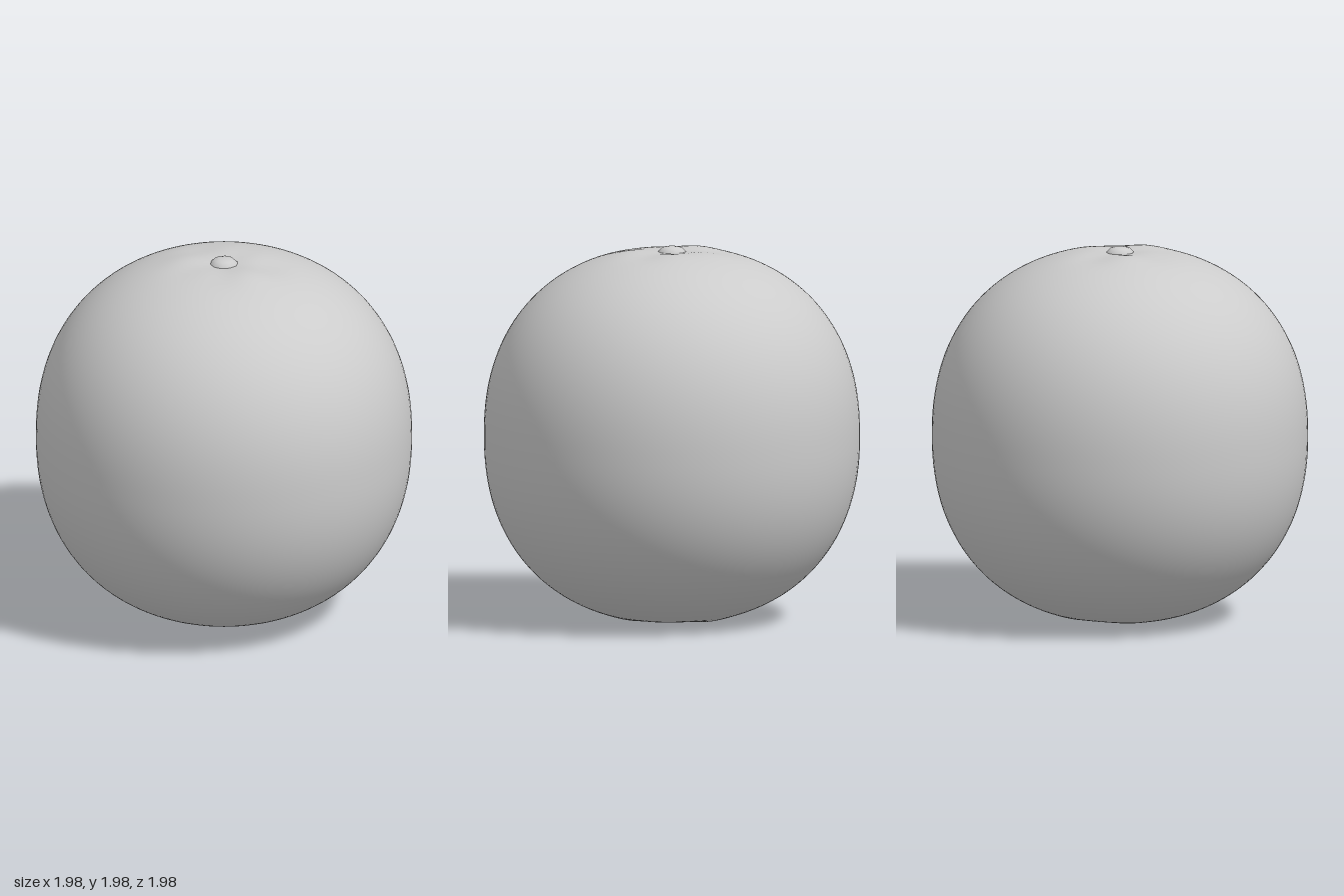
import * as THREE from 'three';
import { mergeVertices } from 'three/addons/utils/BufferGeometryUtils.js';

const R = 0.99, POWER = 2.25;
const material = new THREE.MeshStandardMaterial({ color: 0xcccccc });

// Revolve a profile, weld its seam and apply a vertex rule, keeping it smooth
function revolve(points, segments, move) {
  const lathe = new THREE.LatheGeometry(points, segments);
  lathe.deleteAttribute('uv');
  lathe.deleteAttribute('normal');
  const geometry = mergeVertices(lathe, 1e-5);
  const p = geometry.attributes.position;
  if (move) {
    for (let i = 0; i < p.count; i++) {
      p.setY(i, move(p.getX(i), p.getY(i), p.getZ(i)));
    }
  }
  geometry.computeVertexNormals();
  return geometry;
}

// Slightly squared globe section, from bottom to top
function bodyProfile(steps) {
  const points = [];
  for (let i = 0; i <= steps; i++) {
    const a = -Math.PI / 2 + (Math.PI * i) / steps;
    const c = Math.max(0, Math.cos(a)), s = Math.sin(a);
    const k = R / Math.pow(Math.pow(c, POWER) + Math.pow(Math.abs(s), POWER), 1 / POWER);
    points.push(new THREE.Vector2(i === 0 || i === steps ? 0 : c * k, 1 + s * k));
  }
  return points;
}

// Shallow uneven dimples around both poles
function dimple(x, y, z) {
  const r = Math.hypot(x, z), a = Math.atan2(z, x);
  const top = y > 1;
  const dent = 0.024 * Math.exp(-((r / 0.13) ** 2));
  const ring = Math.exp(-(((r - 0.23) / 0.1) ** 2));
  const ripple = ring * (0.005 * Math.sin(3 * a + (top ? 0.6 : 2)) + 0.003 * Math.sin(5 * a + 1) - 0.002);
  return y - (top ? 1 : -1) * (dent - ripple);
}

export function createModel() {
  const group = new THREE.Group();
  group.name = 'fruit';

  const body = new THREE.Mesh(revolve(bodyProfile(96), 96, dimple), material);
  body.name = 'body';
  group.add(body);

  // Small stem button sitting in the top dimple
  const stemProfile = [[0, 1.945], [0.055, 1.945], [0.075, 1.962], [0.072, 1.975], [0.052, 1.994], [0.025, 2], [0, 2]]
    .map(([r, y]) => new THREE.Vector2(r, y));
  const stem = new THREE.Mesh(revolve(stemProfile, 10), material);
  stem.name = 'stemButton';
  group.add(stem);

  return group;
}
